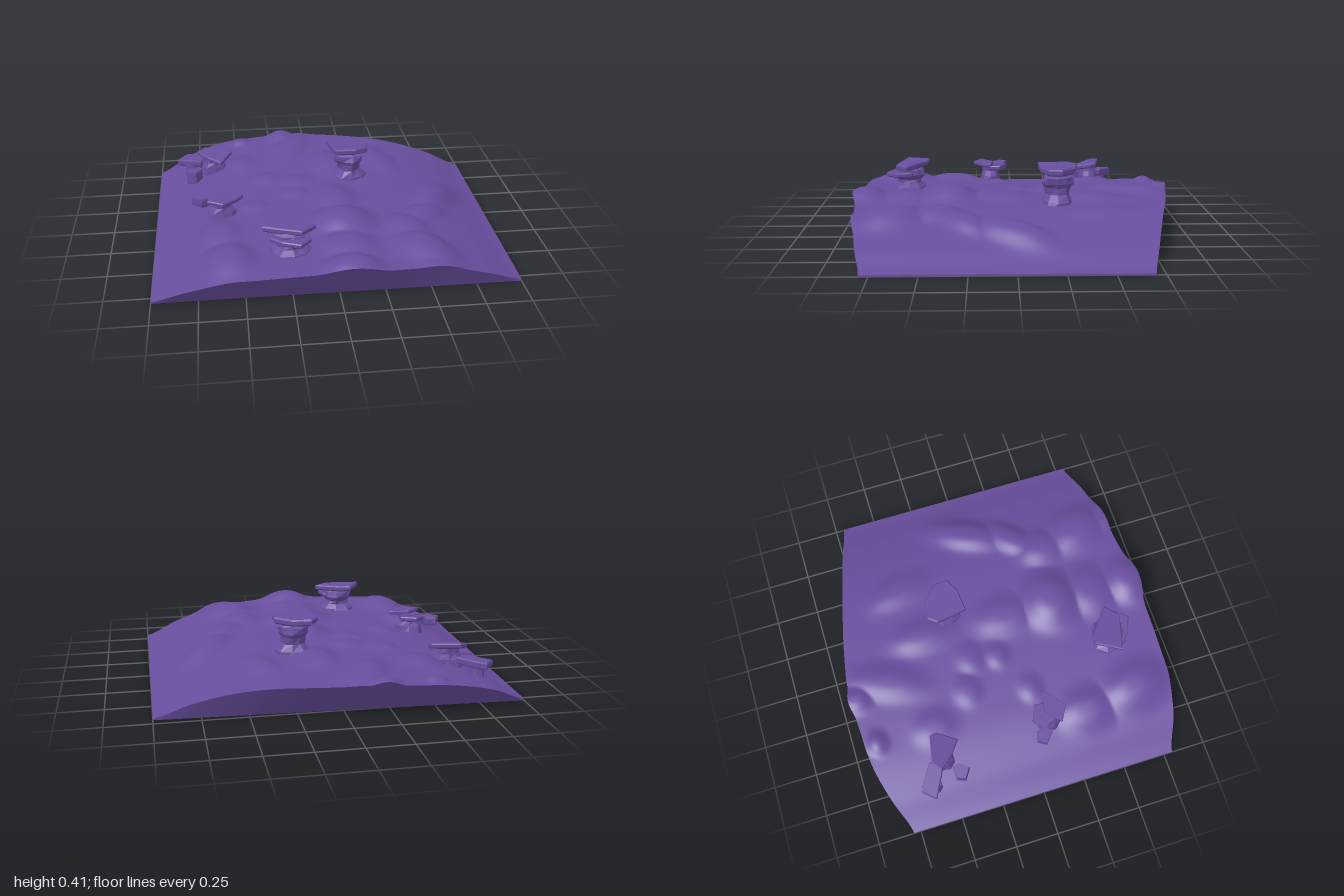
import * as THREE from 'three';

const stone = new THREE.MeshStandardMaterial({ color: 0x684e9e });
stone.name = 'purple stone';

// Smooth interpolation of 11 values spaced evenly over x = -1..1
function sample(v, x) {
  const f = Math.min(9.9999, Math.max(0, (x + 1) * 5)), i = Math.floor(f), t = f - i;
  const p0 = v[Math.max(0, i - 1)], p1 = v[i], p2 = v[i + 1], p3 = v[Math.min(10, i + 2)];
  return p1 + 0.5 * t * (p2 - p0 + t * (2 * p0 - 5 * p1 + 4 * p2 - p3 + t * (3 * (p1 - p2) + p3 - p0)));
}

const archHeight = [0.01, 0.1, 0.155, 0.177, 0.187, 0.19, 0.187, 0.177, 0.147, 0.09, 0.01];
const frontEdge = [0.8, 0.87, 0.905, 0.92, 0.925, 0.925, 0.92, 0.9, 0.875, 0.845, 0.8];
const backEdge = [-0.79, -0.86, -0.91, -0.925, -0.93, -0.915, -0.88, -0.835, -0.79, -0.745, -0.7];

// Mounds: x, z, half width, half depth, height, lean (shift of x per z)
const mounds = [
  [-0.64, 0.38, 0.11, 0.15, 0.045, 0], [-0.59, 0.69, 0.13, 0.17, 0.06, 0.1],
  [0.06, 0.09, 0.11, 0.17, 0.04, 0], [0.07, 0.38, 0.16, 0.15, 0.08, 0],
  [0.06, 0.63, 0.14, 0.13, 0.045, 0], [0.06, 0.87, 0.13, 0.11, 0.06, 0],
  [0.43, 0.44, 0.11, 0.13, 0.045, 0], [0.49, 0.69, 0.14, 0.17, 0.06, 0.2],
  [0.53, 0.86, 0.11, 0.07, 0.03, 0], [0.67, 0.02, 0.11, 0.2, 0.055, -0.4],
  [0.56, 0.27, 0.11, 0.13, 0.045, -0.6], [0.08, -0.43, 0.09, 0.16, 0.035, 0],
  [-0.14, -0.7, 0.1, 0.19, 0.035, -0.3], [-0.19, -0.9, 0.07, 0.08, 0.035, 0],
  [-0.47, -0.85, 0.06, 0.05, 0.03, 0], [-0.48, -0.51, 0.09, 0.11, 0.025, 0],
  [0.41, -0.48, 0.09, 0.17, 0.03, 0.2], [-0.33, -0.26, 0.08, 0.07, 0.02, 0],
  [-0.14, -0.19, 0.08, 0.07, 0.02, 0], [-0.17, -0.03, 0.07, 0.06, 0.02, 0],
  [-0.42, 0.1, 0.07, 0.06, 0.02, 0]
];

function moundHeight(x, z) {
  let best = 0;
  for (const [mx, mz, w, d, h, lean] of mounds) {
    const dz = z - mz, dx = x - mx - lean * dz;
    const r = (dx / w) ** 2 + (dz / d) ** 2;
    best = Math.max(best, h * Math.exp(-0.9 * r ** 1.5));
  }
  return best;
}

function terrainPoint(x, v) {
  const push = (z) => z + Math.sign(z) * 0.5 * moundHeight(x, z);
  const z = THREE.MathUtils.lerp(push(sample(backEdge, x)), push(sample(frontEdge, x)), v);
  return new THREE.Vector3(x, sample(archHeight, x) + moundHeight(x, z), z);
}

// Facetted surface through closed rings, bottom to top, with optional end caps
function loft(rings, capTop = true) {
  const pos = [], n = rings[0].length;
  const tri = (...p) => p.forEach((q) => pos.push(q.x, q.y, q.z));
  const middle = (ring) => ring.reduce((s, p) => s.add(p), new THREE.Vector3()).divideScalar(n);
  const last = rings[rings.length - 1], bottom = middle(rings[0]), top = middle(last);
  for (let i = 0; i < n; i++) {
    const j = (i + 1) % n;
    for (let k = 0; k + 1 < rings.length; k++) {
      const lo = rings[k], hi = rings[k + 1];
      tri(lo[i], hi[i], lo[j]);
      tri(lo[j], hi[i], hi[j]);
    }
    tri(bottom, rings[0][i], rings[0][j]);
    if (capTop) tri(top, last[j], last[i]);
  }
  const g = new THREE.BufferGeometry();
  g.setAttribute('position', new THREE.Float32BufferAttribute(pos, 3));
  g.computeVertexNormals();
  return g;
}

function part(name, geometry) {
  const m = new THREE.Mesh(geometry, stone);
  m.name = name;
  return m;
}

// Rounded, dune-covered upper surface
function ground() {
  const nx = 120, nz = 120, pos = [], index = [];
  for (let i = 0; i <= nx; i++) {
    for (let j = 0; j <= nz; j++) pos.push(...terrainPoint(-1 + 2 * i / nx, j / nz).toArray());
  }
  for (let i = 0; i < nx; i++) {
    for (let j = 0; j < nz; j++) {
      const a = i * (nz + 1) + j, c = a + nz + 1;
      index.push(a, a + 1, c, c, a + 1, c + 1);
    }
  }
  const g = new THREE.BufferGeometry();
  g.setAttribute('position', new THREE.Float32BufferAttribute(pos, 3));
  g.setIndex(index);
  g.computeVertexNormals();
  return part('ground', g);
}

// Undercut side walls and flat underside
function base() {
  const top = [], low = [], n = 120;
  const add = (x, v) => {
    top.push(terrainPoint(x, v));
    const back = THREE.MathUtils.lerp(-0.79, -0.7, (x + 1) / 2);
    low.push(new THREE.Vector3(x, 0, THREE.MathUtils.lerp(back, 0.8, v)));
  };
  for (let i = 0; i <= n; i++) add(-1 + 2 * i / n, 0);
  for (let i = n; i >= 0; i--) add(-1 + 2 * i / n, 1);
  return part('base', loft([low, top], false));
}

// Flat stone slab: outline in x and z, height range, tilt along x and z
function slab(name, outline, y0, y1, tiltX = 0, tiltZ = 0) {
  const pts = outline.map(([x, z]) => new THREE.Vector2(x, z));
  if (THREE.ShapeUtils.area(pts) < 0) pts.reverse();
  const c = pts.reduce((s, p) => s.add(p), new THREE.Vector2()).divideScalar(pts.length);
  const levels = [[0, 0.88], [0.25, 0.99], [0.8, 1], [1, 0.94]];
  return part(name, loft(levels.map(([t, s]) => pts.map((p) => {
    const dx = (p.x - c.x) * s, dz = (p.y - c.y) * s;
    return new THREE.Vector3(c.x + dx, y0 + (y1 - y0) * t + tiltX * dx + tiltZ * dz, c.y + dz);
  }))));
}

// Weathered pillar: levels of height, radius in x, radius in z
function pillar(name, x, z, levels) {
  const n = 9;
  return part(name, loft(levels.map(([y, rx, rz], k) => Array.from({ length: n }, (_, i) => {
    const a = i / n * Math.PI * 2, w = 1 + 0.09 * Math.sin(i * 2.3 + k * 1.1);
    return new THREE.Vector3(x + rx * w * Math.cos(a), y, z + rz * w * Math.sin(a));
  }))));
}

function formation(name, ...parts) {
  const g = new THREE.Group();
  g.name = name;
  return g.add(...parts);
}

export function createModel() {
  const model = new THREE.Group();
  model.name = 'rockyGround';
  model.add(ground(), base());

  model.add(formation('tallRock',
    pillar('tallPillar', 0.19, -0.25, [[0.15, 0.11, 0.1], [0.2, 0.1, 0.09], [0.24, 0.065, 0.07],
      [0.28, 0.07, 0.075], [0.305, 0.09, 0.09], [0.34, 0.095, 0.085], [0.35, 0.07, 0.07], [0.37, 0.07, 0.07]]),
    slab('tallCap', [[0.06, -0.32], [0.1, -0.37], [0.21, -0.355], [0.3, -0.27], [0.3, -0.19],
      [0.22, -0.15], [0.09, -0.14]], 0.36, 0.4, -0.03, 0.03)));

  model.add(formation('frontRock',
    pillar('frontPillar', -0.25, 0.64, [[0.15, 0.12, 0.12], [0.195, 0.11, 0.1], [0.22, 0.075, 0.07],
      [0.24, 0.07, 0.07], [0.27, 0.095, 0.09], [0.3, 0.09, 0.085], [0.315, 0.06, 0.06]]),
    slab('frontLedge', [[-0.36, 0.68], [-0.3, 0.58], [-0.16, 0.62], [-0.14, 0.71], [-0.2, 0.78], [-0.3, 0.74]], 0.26, 0.29),
    slab('frontCap', [[-0.4, 0.66], [-0.32, 0.52], [-0.26, 0.53], [-0.11, 0.65], [-0.19, 0.72],
      [-0.3, 0.69]], 0.31, 0.345, -0.03, -0.06)));

  model.add(formation('leftRock',
    pillar('leftPillar', -0.61, 0.14, [[0.12, 0.09, 0.08], [0.19, 0.08, 0.06], [0.22, 0.055, 0.05], [0.26, 0.06, 0.05]]),
    slab('leftLedge', [[-0.7, 0.09], [-0.63, 0.04], [-0.54, 0.08], [-0.55, 0.16], [-0.66, 0.16]], 0.225, 0.255),
    slab('leftCap', [[-0.69, 0.2], [-0.6, 0.12], [-0.48, 0.14], [-0.52, 0.19], [-0.6, 0.25]], 0.255, 0.28),
    slab('leftPebble', [[-0.78, 0.08], [-0.75, 0.03], [-0.69, 0.05], [-0.68, 0.11], [-0.72, 0.13]], 0.2, 0.255)));

  model.add(formation('backRock',
    pillar('backPillar', -0.65, -0.51, [[0.1, 0.09, 0.07], [0.18, 0.075, 0.06], [0.21, 0.06, 0.05], [0.25, 0.055, 0.05]]),
    slab('backCap', [[-0.75, -0.54], [-0.7, -0.58], [-0.54, -0.55], [-0.53, -0.51], [-0.6, -0.4],
      [-0.68, -0.46]], 0.235, 0.265, 0.04, -0.2),
    slab('backLowSlab', [[-0.88, -0.61], [-0.82, -0.68], [-0.77, -0.66], [-0.67, -0.59], [-0.73, -0.53]], 0.15, 0.195, 0.12, 0),
    pillar('backLowFoot', -0.78, -0.6, [[0.06, 0.06, 0.05], [0.16, 0.05, 0.04]]),
    slab('backPebble', [[-0.82, -0.42], [-0.8, -0.47], [-0.73, -0.47], [-0.72, -0.43], [-0.76, -0.38]], 0.09, 0.185, 0.1, 0)));

  return model;
}
